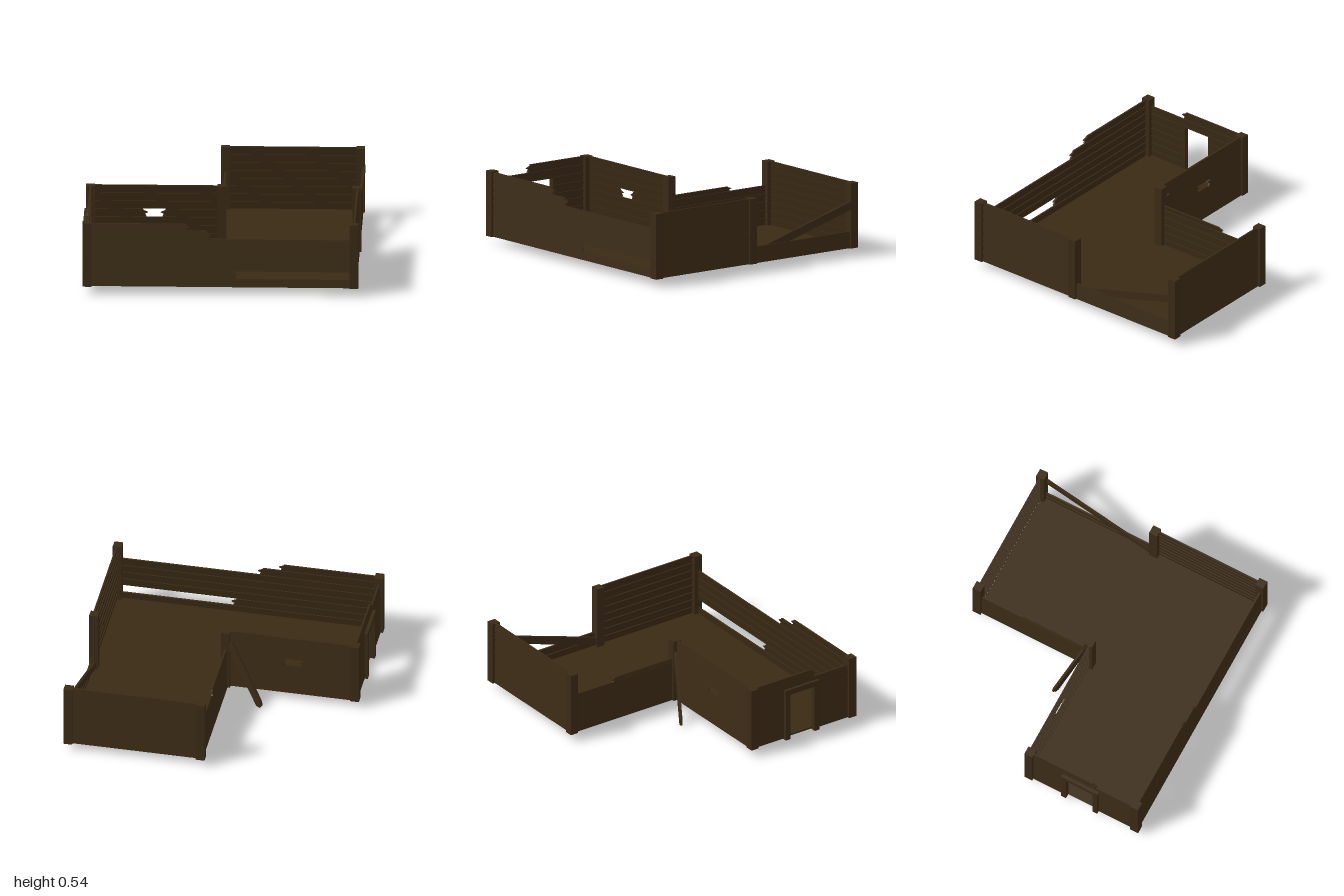
import * as THREE from 'three';

const wood = new THREE.MeshStandardMaterial({ color: 0x3a2a15, flatShading: true, side: THREE.DoubleSide });
const BASE = 0.065, ROW = 0.06, ROWS = 8;

function add(parent, geometry, name, x = 0, y = 0, z = 0) {
  const mesh = new THREE.Mesh(geometry, wood);
  mesh.name = name;
  mesh.position.set(x, y, z);
  parent.add(mesh);
  return mesh;
}

// One clapboard from u0 to u1; a broken end gets a splintered outline
function board(u0, u1, brokenStart, brokenEnd, h = ROW) {
  const pts = [[u0, 0]];
  pts.push([u1, 0]);
  if (brokenEnd) pts.push([u1 - 0.012, h * 0.35], [u1 + 0.012, h * 0.55], [u1 - 0.02, h * 0.8]);
  pts.push([u1 - (brokenEnd ? 0.025 : 0), h]);
  pts.push([u0 + (brokenStart ? 0.025 : 0), h]);
  if (brokenStart) pts.push([u0 + 0.02, h * 0.8], [u0 - 0.012, h * 0.55], [u0 + 0.012, h * 0.35]);
  const geo = new THREE.ExtrudeGeometry(
    new THREE.Shape(pts.map(p => new THREE.Vector2(...p))), { depth: 0.014, bevelEnabled: false });
  // lower edge leans outward over the board beneath
  const p = geo.attributes.position;
  for (let i = 0; i < p.count; i++) p.setZ(i, p.getZ(i) - 0.007 + 0.009 * (1 - p.getY(i) / h));
  geo.computeVertexNormals();
  return geo;
}

// Wall of stacked boards; special[row] replaces the full board by pieces
function wall(parent, name, x, z, angle, length, special = {}, rows = ROWS) {
  const group = new THREE.Group();
  group.name = name;
  group.position.set(x, BASE, z);
  group.rotation.y = angle;
  for (let r = 0; r < rows; r++) {
    for (const piece of special[r] || [[0, length]]) add(group, board(...piece), 'board', 0, r * ROW, 0);
  }
  parent.add(group);
}

// Loose plank between two points, its broad side upright, with one splintered end
function loosePlank(parent, name, a, b, width) {
  const from = new THREE.Vector3(...a), to = new THREE.Vector3(...b);
  const dir = to.clone().sub(from), len = dir.length();
  dir.normalize();
  const side = new THREE.Vector3().crossVectors(dir, new THREE.Vector3(0, 1, 0)).normalize();
  const up = new THREE.Vector3().crossVectors(side, dir);
  const w = width / 2;
  const shape = new THREE.Shape([[0, -w], [len - 0.02, -w], [len, -w * 0.2], [len - 0.025, w * 0.2],
    [len - 0.01, w * 0.6], [len - 0.05, w], [0, w]].map(p => new THREE.Vector2(...p)));
  const geo = new THREE.ExtrudeGeometry(shape, { depth: 0.018, bevelEnabled: false });
  geo.translate(0, 0, -0.009);
  geo.applyMatrix4(new THREE.Matrix4().makeBasis(dir, up, side));
  add(parent, geo, name, ...a);
}

export function createModel() {
  const model = new THREE.Group();
  model.name = 'ruinedCabin';

  // L-shaped floor
  const outline = [[-0.965, 0.89], [0.965, 0.89], [0.965, -0.9], [-0.015, -0.9], [-0.015, 0.015], [-0.965, 0.015]];
  const floor = new THREE.ExtrudeGeometry(
    new THREE.Shape(outline.map(([x, z]) => new THREE.Vector2(x, -z))), { depth: 0.012, bevelEnabled: false });
  floor.rotateX(-Math.PI / 2);
  add(model, floor, 'floor', 0, 0.062, 0);

  // Corner posts
  const corners = [[-0.963, 0.89], [0.963, 0.89], [0.96, 0.025], [0.96, -0.9],
    [-0.015, -0.9], [-0.015, 0.01], [-0.963, 0.025]];
  for (const [x, z] of corners) add(model, new THREE.BoxGeometry(0.064, 0.482, 0.064), 'post', x, 0.304, z);

  // Walls, with missing and snapped boards
  const q = Math.PI / 2;
  wall(model, 'frontWall', -0.965, 0.893, 0, 1.93, {
    1: [[0, 1.08, false, true]],
    6: [[0, 0.885, false, true]],
    7: [[0, 0.73, false, true, 0.052]],
  });
  wall(model, 'leftFrontWall', 0.965, 0.89, q, 0.865);
  wall(model, 'leftBackWall', 0.965, 0.025, q, 0.925, {}, 2);
  wall(model, 'backWall', 0.96, -0.9, 2 * q, 0.975);
  wall(model, 'innerWall', -0.015, -0.9, -q, 0.91, { 5: [[0.35, 0.91, true, false, 0.035]] }, 6);
  wall(model, 'wingBackWall', -0.015, 0.018, 2 * q, 0.95, {
    4: [[0, 0.43, false, true], [0.545, 0.95, true, false]],
  });
  const doorway = { 7: [[0, 0.54, false, true]] };
  for (let r = 0; r < 6; r++) doorway[r] = [[0, 0.295], [0.545, 0.865]];
  wall(model, 'doorWall', -0.963, 0.025, -q, 0.865, doorway);

  // Door frame
  for (const z of [0.315, 0.57]) add(model, new THREE.BoxGeometry(0.038, 0.4, 0.04), 'doorJamb', -0.98, 0.255, z);
  add(model, new THREE.BoxGeometry(0.038, 0.04, 0.3), 'doorLintel', -0.98, 0.437, 0.443);

  // Fallen planks
  loosePlank(model, 'fallenBrace', [0.985, 0.39, -0.9], [0.945, 0.115, 0.01], 0.058);
  loosePlank(model, 'leaningPlank', [-0.045, 0.46, -0.01], [-0.3, 0.008, -0.135], 0.06);

  return model;
}
